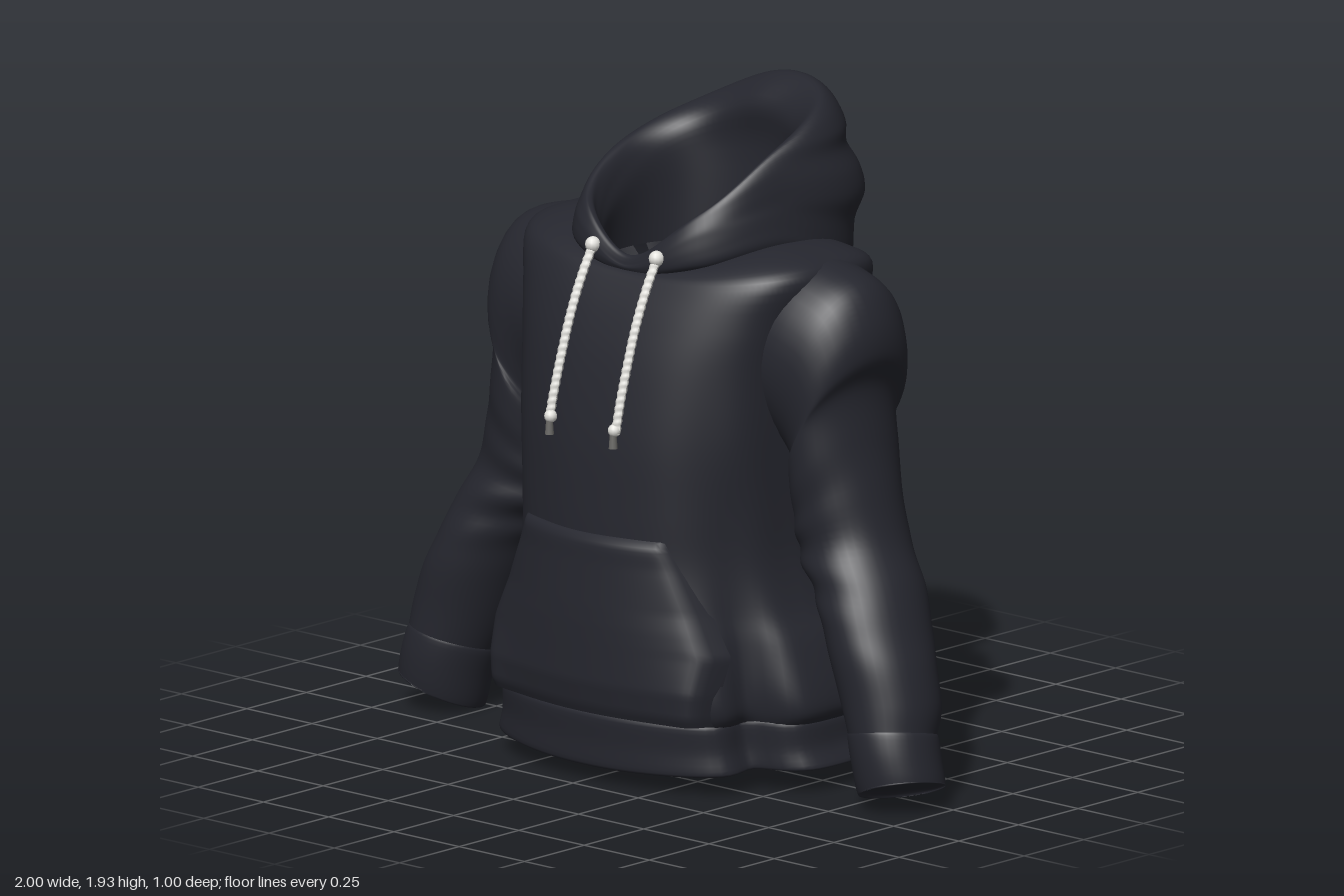
import * as THREE from 'three';

const fabric = new THREE.MeshStandardMaterial({ color: 0x25262e, side: THREE.DoubleSide });
fabric.name = 'dark fabric';
const cordMat = new THREE.MeshStandardMaterial({ color: 0xe2e1dc });
cordMat.name = 'off-white cord';
const tipMat = new THREE.MeshStandardMaterial({ color: 0x6a6966 });
tipMat.name = 'grey cord tip';

// Smooth interpolation through rows of numbers, t in 0..1
function spline(rows, t, wrap = false) {
  const n = rows.length, span = wrap ? n : n - 1;
  const f = t * span, i = Math.min(Math.floor(f), span - 1), u = f - i;
  const at = k => rows[wrap ? (k + n) % n : Math.max(0, Math.min(n - 1, k))];
  const [a, b, c, d] = [at(i - 1), at(i), at(i + 1), at(i + 2)];
  return b.map((p, k) => p + 0.5 * u * (c[k] - a[k]
    + u * (2 * a[k] - 5 * p + 4 * c[k] - d[k] + u * (3 * (p - c[k]) + d[k] - a[k]))));
}

// Skin a grid of points: point(u, v) with u around and v along
function skin(name, nu, nv, closed, point) {
  const pos = [], idx = [], cols = closed ? nu : nu + 1;
  for (let j = 0; j <= nv; j++)
    for (let i = 0; i < cols; i++) pos.push(...point(i / nu, j / nv));
  for (let j = 0; j < nv; j++)
    for (let i = 0; i < nu; i++) {
      const a = j * cols + i, b = j * cols + (i + 1) % cols;
      idx.push(a, b, a + cols, b, b + cols, a + cols);
    }
  const g = new THREE.BufferGeometry();
  g.setAttribute('position', new THREE.Float32BufferAttribute(pos, 3));
  g.setIndex(idx);
  g.computeVertexNormals();
  const m = new THREE.Mesh(g, fabric);
  m.name = name;
  return m;
}

const spow = (v, p) => Math.sign(v) * Math.abs(v) ** p;
const bump = (v, c, w) => Math.exp(-(((v - c) / w) ** 2));

// Rows: y, half width, front z, back z, rise of y towards the sides, squareness, pinch in front of the side seam
const bodyRows = [
  [0.19, 0.565, 0.46, -0.35, 0, 2.1, 0.15], [0.23, 0.59, 0.475, -0.36, 0, 2.1, 0.15],
  [0.30, 0.58, 0.485, -0.365, 0, 2.1, 0.14], [0.42, 0.54, 0.48, -0.375, 0, 2.1, 0.1],
  [0.52, 0.495, 0.475, -0.38, 0, 2.1, 0.06], [0.65, 0.465, 0.465, -0.38, 0, 2.15, 0.03],
  [0.80, 0.46, 0.46, -0.375, 0, 2.2, 0.02], [1.00, 0.465, 0.445, -0.365, 0, 2.3, 0],
  [1.20, 0.475, 0.405, -0.35, 0, 2.5, 0], [1.34, 0.50, 0.355, -0.34, 0.01, 2.7, 0],
  [1.43, 0.53, 0.305, -0.32, 0.045, 2.7, 0], [1.455, 0.47, 0.28, -0.28, 0.068, 2.5, 0],
  [1.455, 0.35, 0.265, -0.26, 0.085, 2.2, 0], [1.42, 0.28, 0.245, -0.235, 0.09, 2, 0],
];
const hemRows = [
  [0.205, 0.56, 0.465, -0.35, 0, 2.1, 0.15], [0.19, 0.572, 0.474, -0.36, 0, 2.1, 0.15],
  [0.12, 0.578, 0.468, -0.367, 0.005, 2.1, 0.15], [0.053, 0.602, 0.465, -0.38, 0.02, 2.1, 0.16],
  [0.06, 0.585, 0.45, -0.365, 0.02, 2.1, 0.16], [0.19, 0.55, 0.445, -0.335, 0, 2.1, 0.15],
];

// Rounded cross-section, squarer at the back, with soft vertical folds
function bodyPoint(row, u) {
  const [y, a, zf, zb, rise, square, pinch] = row, th = (u - 0.5) * Math.PI * 2;
  const n = square * (Math.cos(th) < 0 ? 1.3 : 1);
  const s = spow(Math.sin(th), 2 / n), c = spow(Math.cos(th), 2 / n);
  const calm = bump(y, 0.75, 0.45) * (1 - 0.85 * Math.max(0, Math.cos(th)));
  const k = 1 + 0.016 * calm * Math.sin(th * 11 + 2.5 * y) - pinch * bump(Math.abs(th), 1.05, 0.17);
  return [a * s * k, y + rise * s * s, (zf + zb) / 2 + (zf - zb) / 2 * c * k];
}

// Front z of the body at x, y
function frontZ(x, y) {
  const i = bodyRows.findIndex(r => r[0] > y), p = bodyRows[i - 1], q = bodyRows[i];
  const t = (y - p[0]) / (q[0] - p[0]);
  const [, a, zf, zb, , n] = p.map((v, k) => v + (q[k] - v) * t);
  const c = (1 - Math.min(1, Math.abs(x) / a) ** n) ** (1 / n);
  return (zf + zb) / 2 + (zf - zb) / 2 * c;
}

// Rows: inner x, y, outer x, y, centre z, half depth
const sleeveRows = [
  [0.34, 0.99, 0.42, 1.525, -0.03, 0.23], [0.41, 0.96, 0.54, 1.502, -0.03, 0.23],
  [0.44, 0.92, 0.64, 1.46, -0.03, 0.222], [0.45, 0.90, 0.693, 1.37, -0.025, 0.21],
  [0.46, 0.88, 0.705, 1.27, -0.02, 0.20], [0.46, 0.86, 0.672, 1.17, -0.01, 0.195],
  [0.46, 0.80, 0.69, 1.03, -0.01, 0.19], [0.46, 0.72, 0.72, 0.90, -0.01, 0.175],
  [0.47, 0.65, 0.765, 0.74, -0.01, 0.17], [0.53, 0.58, 0.83, 0.62, 0.005, 0.175],
  [0.585, 0.50, 0.885, 0.49, 0.03, 0.17], [0.63, 0.40, 0.925, 0.40, 0.05, 0.16],
  [0.68, 0.27, 0.955, 0.30, 0.06, 0.15], [0.72, 0.18, 0.962, 0.23, 0.08, 0.132],
];
// The cuff turns in at its mouth and closes just inside it
const cuffRows = [
  [0.728, 0.19, 0.955, 0.235, 0.08, 0.125], [0.718, 0.175, 0.968, 0.22, 0.08, 0.134],
  [0.737, 0.10, 0.985, 0.16, 0.085, 0.135], [0.76, 0.01, 1.0, 0.095, 0.085, 0.13],
  [0.775, 0.025, 0.985, 0.10, 0.085, 0.118], [0.86, 0.068, 0.88, 0.075, 0.085, 0.005],
];
function sleevePoint(row, u, side, slope) {
  const [xi, yi, xo, yo, zc, zd] = row, th = u * Math.PI * 2;
  const c = Math.cos(th), s = Math.sin(th), my = (yi + yo) / 2;
  // slanted elbow wrinkles
  const k = 1 + 0.05 * bump(my, 0.68, 0.15) * Math.sin(my * 48 + 2 * s) * (0.5 - 0.5 * c);
  return [side * ((xi + xo) / 2 + (xo - xi) / 2 * c * k),
    my + (yo - yi) / 2 * c + slope * zd * s, zc + zd * s * k];
}

// Hood profiles as (radius, y), from the outer seam over the rim to the inside neck
const hoodFront = [[0.275, 1.44], [0.28, 1.45], [0.285, 1.46], [0.285, 1.465], [0.283, 1.47], [0.28, 1.48], [0.275, 1.49],
  [0.265, 1.495], [0.255, 1.49], [0.25, 1.48], [0.248, 1.47], [0.245, 1.45], [0.25, 1.4]];
const hoodFrontSide = [[0.32, 1.48], [0.335, 1.5], [0.335, 1.53], [0.33, 1.56], [0.325, 1.58], [0.315, 1.6], [0.305, 1.615],
  [0.295, 1.62], [0.28, 1.61], [0.27, 1.58], [0.258, 1.54], [0.25, 1.49], [0.26, 1.42]];
const hoodSide = [[0.355, 1.52], [0.36, 1.54], [0.355, 1.57], [0.35, 1.6], [0.345, 1.63], [0.34, 1.67], [0.33, 1.71],
  [0.315, 1.74], [0.297, 1.748], [0.278, 1.73], [0.262, 1.68], [0.25, 1.59], [0.26, 1.42]];
const hoodBackSide = [[0.4, 1.4], [0.44, 1.41], [0.455, 1.46], [0.46, 1.54], [0.485, 1.6], [0.472, 1.66], [0.435, 1.72],
  [0.43, 1.77], [0.395, 1.825], [0.35, 1.845], [0.29, 1.79], [0.275, 1.68], [0.27, 1.42]];
const hoodBack = [[0.33, 1.26], [0.41, 1.28], [0.435, 1.42], [0.435, 1.54], [0.5, 1.61], [0.485, 1.68], [0.452, 1.74],
  [0.455, 1.81], [0.41, 1.89], [0.34, 1.915], [0.255, 1.84], [0.27, 1.7], [0.24, 1.42]];
const hoodKeys = [hoodFront, hoodFrontSide, hoodSide, hoodBackSide, hoodBack, hoodBackSide, hoodSide, hoodFrontSide];

function hoodPoint(u, v) {
  const [r, y] = spline(hoodKeys.map(k => spline(k, v)), u, true);
  const th = u * Math.PI * 2, x = r * Math.sin(th);
  // the hood slumps a little towards its right
  return [x, y + 0.2 * x * Math.max(0, y - 1.5) / 0.35, r * Math.cos(th)];
}

// Kangaroo pocket: half width by height, standing off the body at its sides
function pocketPoint(u, v) {
  const y = 0.205 + 0.53 * v, p = 2 * u - 1, q = 2 * v - 1;
  const w = y > 0.4 ? 0.43 - 0.165 * (y - 0.4) / 0.335 : 0.43 - 0.02 * (0.4 - y) / 0.2;
  const edge = Math.max(Math.abs(p), Math.max(0, q)) ** 24;
  const x = p * w, puff = 0.055 * p ** 4 * (1 - v);
  return [x, y, frontZ(x, y) + 0.02 * (1 - 0.4 * Math.max(0, -q)) + puff - (0.04 + puff) * edge];
}

function drawcord(side) {
  const g = new THREE.Group();
  g.name = side > 0 ? 'leftDrawcord' : 'rightDrawcord';
  const x = side * 0.122;
  const path = new THREE.CatmullRomCurve3([[1.515, 0.275], [1.45, 0.315], [1.34, 0.367], [1.2, 0.415], [1.1, 0.444], [1.03, 0.46]]
    .map(([y, z], i) => new THREE.Vector3(x + side * 0.001 * i, y, z)));
  const tube = new THREE.TubeGeometry(path, 120, 0.013, 8);
  // braided thickness
  const p = tube.attributes.position, c = new THREE.Vector3(), q = new THREE.Vector3();
  for (let i = 0; i < p.count; i++) {
    const t = Math.floor(i / 9) / 120;
    path.getPointAt(t, c);
    q.fromBufferAttribute(p, i).sub(c).multiplyScalar(1 + 0.08 * Math.sin(t * 150 + (i % 9) * Math.PI / 4)).add(c);
    p.setXYZ(i, q.x, q.y, q.z);
  }
  tube.computeVertexNormals();
  const add = (name, geo, mat, px, y, z) => {
    const m = new THREE.Mesh(geo, mat);
    m.name = name;
    m.position.set(px, y, z);
    g.add(m);
  };
  add('cord', tube, cordMat, 0, 0, 0);
  add('topKnot', new THREE.SphereGeometry(0.023, 12, 8), cordMat, x, 1.508, 0.283);
  add('endKnot', new THREE.SphereGeometry(0.019, 12, 8), cordMat, x, 1.04, 0.46);
  add('cordTip', new THREE.CylinderGeometry(0.01, 0.013, 0.04, 10), tipMat, x, 1.008, 0.465);
  return g;
}

export function createModel() {
  const model = new THREE.Group();
  model.name = 'hoodie';
  model.add(
    skin('body', 120, 60, true, (u, v) => bodyPoint(spline(bodyRows, v), u)),
    skin('hemBand', 120, 20, true, (u, v) => bodyPoint(spline(hemRows, v), u)),
    skin('hood', 96, 60, true, hoodPoint),
    skin('frontPocket', 60, 40, false, pocketPoint),
  );
  for (const side of [1, -1]) {
    const label = side > 0 ? 'left' : 'right';
    model.add(
      skin(label + 'Sleeve', 40, 80, true, (u, v) => sleevePoint(spline(sleeveRows, v), u, side, 0.22 * v)),
      skin(label + 'Cuff', 40, 20, true, (u, v) => sleevePoint(spline(cuffRows, v), u, side, 0.22)),
      drawcord(side),
    );
  }
  return model;
}
